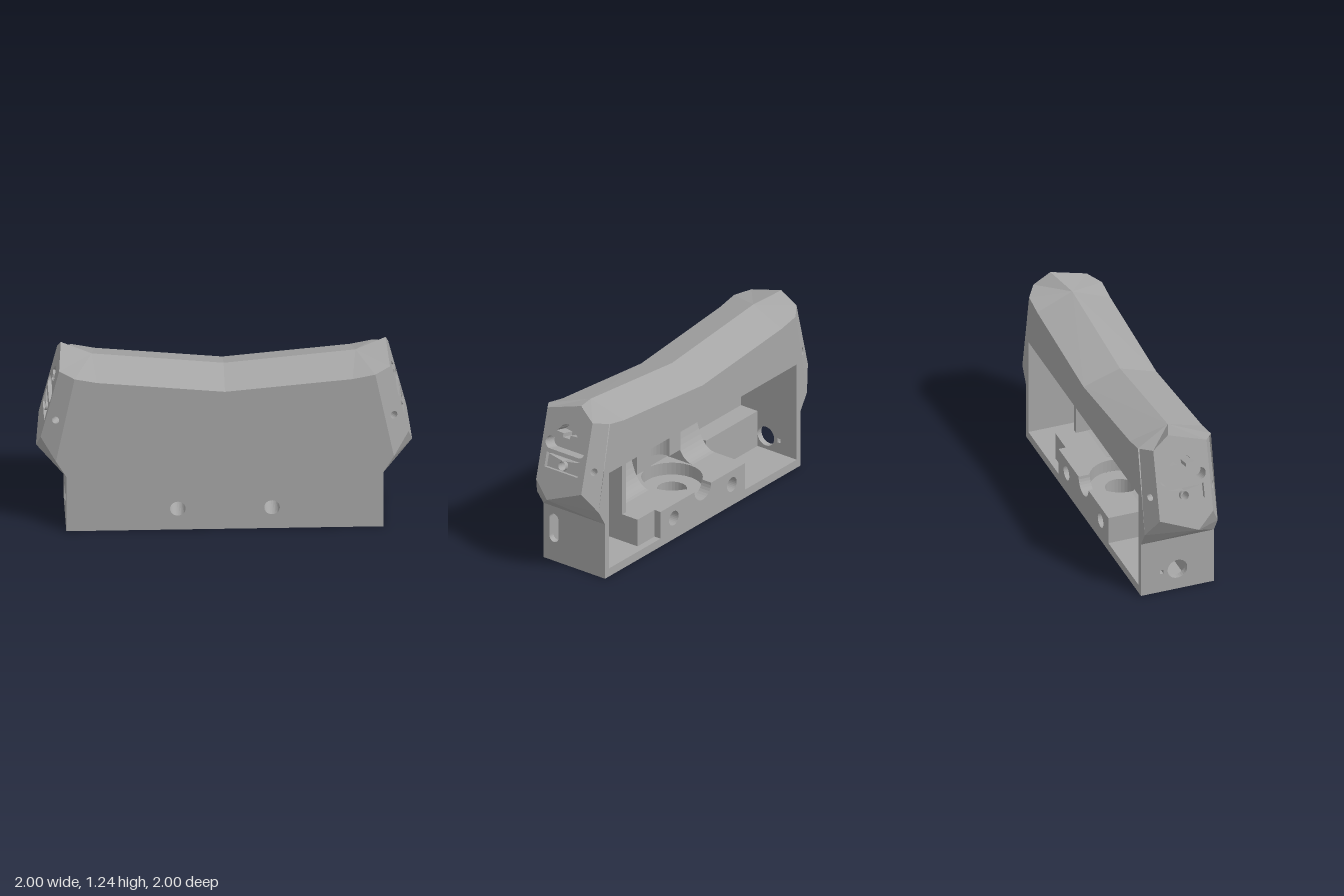
import * as THREE from 'three';

const grey = new THREE.MeshStandardMaterial({ color: 0xa6a6a6, side: THREE.DoubleSide });
grey.name = 'plain grey';

const V = (x, y, z) => new THREE.Vector3(x, y, z);
const P = (list) => list.map(([x, y]) => new THREE.Vector2(x, y));
const X = V(1, 0, 0), Y = V(0, 1, 0), Z = V(0, 0, 1);

// Flat coordinate frame in space
const frame = (o, u, v) => new THREE.Matrix4()
  .makeBasis(u, v, u.clone().cross(v)).setPosition(o);

// Points of an arc, circle or rounded slot
const arc = (x, y, r, a0, a1, n = 14) => Array.from({ length: n + 1 }, (_, i) => {
  const a = a0 + (a1 - a0) * i / n;
  return new THREE.Vector2(x + r * Math.cos(a), y + r * Math.sin(a));
});
const circle = (x, y, r, n = 28) => arc(x, y, r, 0, 2 * Math.PI * (n - 1) / n, n - 1);
const rect = (x0, y0, x1, y1) => P([[x0, y0], [x1, y0], [x1, y1], [x0, y1]]);
const slotV = (x, y0, y1, r) => [...arc(x, y1 - r, r, 0, Math.PI), ...arc(x, y0 + r, r, Math.PI, 2 * Math.PI)];
const slotH = (x0, x1, y, r) => [...arc(x1 - r, y, r, -Math.PI / 2, Math.PI / 2),
  ...arc(x0 + r, y, r, Math.PI / 2, Math.PI * 1.5)];

export function createModel() {
  const model = new THREE.Group();
  const body = new THREE.Group();
  body.name = 'diagonalBody';
  body.rotation.y = Math.PI / 4;
  model.add(body);

  const add = (name, geo) => {
    const m = new THREE.Mesh(geo, grey);
    m.name = name;
    body.add(m);
    return m;
  };
  // Flat panel with cut-outs
  const plate = (name, f, outline, holes = [], depth = 0) => {
    const s = new THREE.Shape(outline);
    holes.forEach((h) => s.holes.push(new THREE.Path(h)));
    add(name, new THREE.ShapeGeometry(s).translate(0, 0, depth).applyMatrix4(f));
  };
  // Triangles listed as corner points
  const tris = (name, pts) => {
    const g = new THREE.BufferGeometry().setFromPoints(pts);
    g.computeVertexNormals();
    add(name, g);
  };
  const fan = (name, pts) => {
    const t = [];
    for (let i = 1; i < pts.length - 1; i++) t.push(pts[0], pts[i], pts[i + 1]);
    tris(name, t);
  };
  // Side walls of a cut-out
  const walls = (name, f, pts, d, closed = true) => {
    const t = [];
    const n = closed ? pts.length : pts.length - 1;
    for (let i = 0; i < n; i++) {
      const a = pts[i], b = pts[(i + 1) % pts.length];
      const q = [V(a.x, a.y, 0), V(b.x, b.y, 0), V(b.x, b.y, d), V(a.x, a.y, d)].map((p) => p.applyMatrix4(f));
      t.push(q[0], q[1], q[2], q[0], q[2], q[3]);
    }
    tris(name, t);
  };
  const pocket = (name, f, pts, d) => {
    walls(name + 'Walls', f, pts, d);
    plate(name + 'Floor', f, pts, [], d);
  };
  const box = (name, x0, x1, y0, y1, z0, z1) =>
    add(name, new THREE.BoxGeometry(x1 - x0, y1 - y0, z1 - z0)
      .translate((x0 + x1) / 2, (y0 + y1) / 2, (z0 + z1) / 2));

  const T = 0.26, L = 1.055, IN = 0.21, C = 1.013, S = 0.457, SH = 0.258, LO = 0.06, HI = 0.77;

  // Front and back panels
  const half = [[0, 1.02], [0.85, 1.10], [1.0, 1.13], [1.124, 0.52], [L, 0.405], [L, 0]];
  const side = P([...half, ...half.slice(1).reverse().map(([x, y]) => [-x, y])]);
  const screws = [circle(-0.313, 0.155, 0.052), circle(0.313, 0.155, 0.052)];
  const front = frame(V(0, 0, T), X, Y), back = frame(V(0, 0, -T), X, Y);
  const notch = arc(0, SH, 0.09, 0, -Math.PI);
  const rim = P([[-S, SH], [-S, LO], [-C, LO], [-C, HI], [C, HI], [C, LO], [S, LO], [S, SH]]);
  plate('frontPanel', front, side, screws);
  plate('backPanel', back, side, [[...rim, ...notch], ...screws]);
  screws.forEach((s) => walls('screwHole', back, s, 2 * T));

  // Underside with central bore
  const flat = (y) => frame(V(0, y, 0), X, V(0, 0, -1));
  plate('underside', flat(0), rect(-L, -T, L, T), [circle(0, 0, 0.1)]);
  walls('centralBore', flat(0), circle(0, 0, 0.1), 0.17);

  // Cavity shell
  plate('cavityWall', frame(V(0, 0, IN), X, Y), rim);
  plate('cavityCeiling', flat(HI), rect(-C, -IN, C, T));
  for (const s of [-1, 1]) {
    plate('cavityFloor', flat(LO), rect(Math.min(s * S, s * C), -IN, Math.max(s * S, s * C), T));
    plate('shelfSide', frame(V(s * S, 0, 0), Z, Y), rect(-T, LO, IN, SH));
  }

  // Shelf with counterbore and groove
  const a = Math.asin(0.09 / 0.205);
  const bore = arc(0, 0, 0.205, Math.PI / 2 - a, -Math.PI * 1.5 + a, 36);
  plate('shelfTop', flat(SH), [...P([[0.09, T], [S, T], [S, -IN], [-S, -IN], [-S, T], [-0.09, T]]),
    ...bore.slice().reverse()]);
  walls('counterboreWall', flat(0.17), bore, SH - 0.17, false);
  plate('counterboreFloor', flat(0.17), circle(0, 0, 0.205), [circle(0, 0, 0.1)]);
  walls('shelfGroove', back, notch, 0.08, false);

  // Cavity fittings
  box('stepBlock', S, 0.64, LO, SH, -0.21, IN);
  box('dividerPlate', 0.6, 0.64, LO, HI, -0.08, IN);
  box('sideLedge', -C, -S, LO, 0.32, 0.07, IN);
  const cradle = new THREE.Shape();
  cradle.moveTo(0, SH);
  cradle.quadraticCurveTo(0.17, 0.27, 0.18, HI);
  cradle.lineTo(IN, HI);
  cradle.lineTo(IN, SH);
  for (const [x0, x1] of [[-S, -0.22], [0.25, 0.6]]) {
    add('curvedCradle', new THREE.ExtrudeGeometry(cradle, { depth: x1 - x0, bevelEnabled: false, curveSegments: 14 })
      .applyMatrix4(new THREE.Matrix4().makeBasis(Z, Y, V(-1, 0, 0))).translate(x1, 0, 0));
  }
  const pier = new THREE.Shape([...P([[-0.22, -IN], [0.25, -IN], [0.25, -0.1]]),
    ...arc(0, -0.1, 0.1, 0, -Math.PI), ...P([[-0.22, -0.1]])]);
  add('groovedPier', new THREE.ExtrudeGeometry(pier, { depth: HI - 0.34, bevelEnabled: false })
    .applyMatrix4(flat(0.34)));

  for (const s of [-1, 1]) {
    // Lower end wall and its openings
    const end = frame(V(s * L, 0, 0), Z, Y);
    const cuts = s < 0 ? [circle(0, 0.155, 0.07), rect(-0.125, 0.14, -0.1, 0.17)] : [slotV(0.171, 0.14, 0.35, 0.038)];
    plate('endWall', end, rect(-T, 0, T, 0.405), cuts);
    plate('cavityEnd', frame(V(s * C, 0, 0), Z, Y), rect(-T, LO, IN, HI), cuts);
    cuts.forEach((c) => walls('endOpening', end, c, s * (L - C)));

    // Sloping six-sided end face with recesses
    const k = Math.hypot(1, 0.2536);
    const face = frame(V(s * 1.223, 0.67, 0), Z, V(-s * 0.2536, 1, 0).normalize());
    const up = (pts) => pts.map((p) => new THREE.Vector2(p.x, (p.y - 0.67) * k));
    const dome = up([...P([[-0.03, 1.0], [0.03, 1.0], [0.03, 1.025], [0.09, 1.03]]),
      ...arc(0, 1.02, 0.072, 0.5, Math.PI - 0.5), ...P([[-0.09, 1.03], [-0.03, 1.025]])]);
    const slot = up(slotH(-0.163, 0.163, 0.94, 0.042));
    const tray = up(rect(-0.14, 0.77, 0.14, 0.872));
    plate('endFace', face, up(P([[-0.19, 0.67], [0.078, 0.56], [0.19, 0.67], [0.19, 1.155], [-0.078, 1.24], [-0.19, 1.155]])),
      [dome, slot, tray]);
    pocket('domeRecess', face, dome, s * 0.1);
    pocket('slotRecess', face, slot, s * 0.1);
    const dot = up(circle(0, 0.81, 0.03)), wedge = up(P([[-0.12, 0.865], [0.12, 0.865], [0, 0.845]]));
    walls('trayWalls', face, tray, s * 0.03);
    plate('trayFloor', face, tray, [dot, wedge], s * 0.03);
    pocket('trayHole', face, dot, s * 0.1);
    pocket('trayWedge', face, wedge, s * 0.1);

    const apex = V(s * 1.08, 1.24, -0.078), keel = V(s * 1.251, 0.56, 0.078);
    const ridge = V(s * 0.877, 1.19, 0), mid = V(0, 1.105, 0);
    for (const q of [-1, 1]) {
      const D = V(s * 1.223, 0.67, q * 0.19), U = V(s * 1.10, 1.155, q * 0.19);
      const F = V(s, 1.13, q * T), A = V(s * 1.124, 0.52, q * T);
      const B = V(s * L, 0.405, q * T), E = V(s * 0.85, 1.10, q * T);
      // Saddle-shaped top slopes
      fan('topSlope', [ridge, mid, V(0, 1.02, q * T), E]);
      fan('topEndSlope', [ridge, E, F, U, apex]);
      // Facets under the end face
      fan('underFacets', [keel, D, A, B, V(s * L, 0.405, 0)]);
      // Corner chamfer with a small hole
      const v = U.clone().sub(D).normalize();
      const n = v.clone().cross(A.clone().sub(D)).normalize();
      const u = v.clone().cross(n);
      const f = frame(D, u, v), inv = f.clone().invert();
      const pts = [D, U, F, A].map((p) => p.clone().applyMatrix4(inv)).map((p) => new THREE.Vector2(p.x, p.y));
      const c = pts.reduce((m, p) => m.addScaledVector(p, 0.25), new THREE.Vector2());
      const hole = circle(c.x, c.y - 0.06, 0.026, 16);
      const w = u.clone().cross(v);
      const inward = Math.sign(w.dot(V(0, 0.8, 0).sub(D)));
      plate('cornerChamfer', f, pts, [hole]);
      pocket('chamferHole', f, hole, inward * 0.1);
    }
  }
  return model;
}
